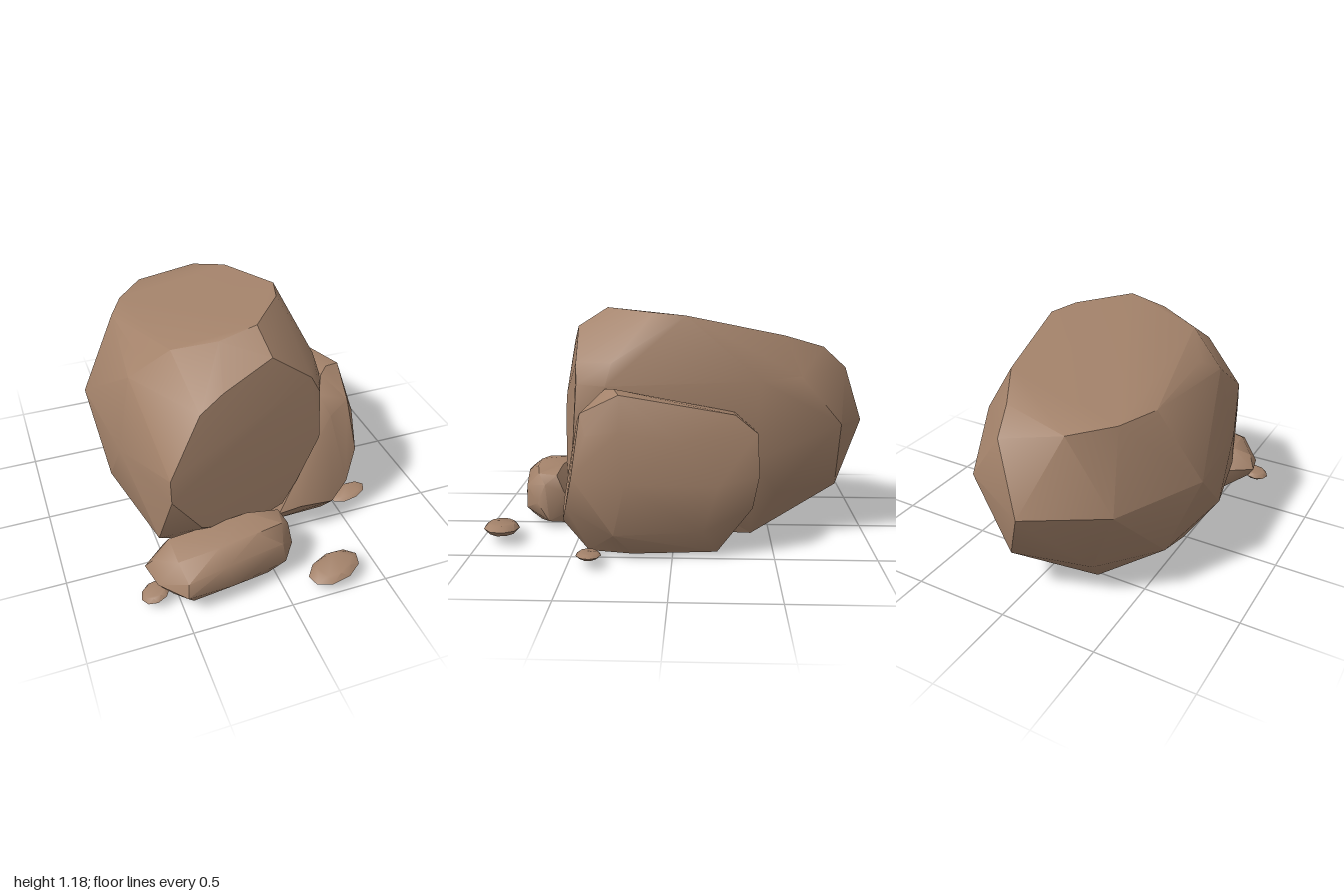
import * as THREE from 'three';
import { ConvexGeometry } from 'three/addons/geometries/ConvexGeometry.js';
import { toCreasedNormals } from 'three/addons/utils/BufferGeometryUtils.js';

// Corner points [x, y, z] of each boulder, in rings
const boulder = [
  // sloping top facet
  [0.29, 1.165, -0.06], [0.24, 1.175, 0.1], [0.04, 1.185, 0.35], [-0.15, 1.14, 0.36], [-0.36, 1.09, 0.28],
  [-0.48, 0.99, 0.1], [-0.49, 0.944, -0.4], [-0.4, 0.93, -0.6], [-0.24, 0.927, -0.79], [0.08, 0.99, -0.76], [0.2, 1.06, -0.55],
  // front facet
  [0.06, 1.09, 0.5], [-0.2, 0.99, 0.56], [-0.32, 0.92, 0.59], [-0.49, 0.64, 0.665], [-0.49, 0.52, 0.675],
  [-0.34, 0.3, 0.65], [-0.1, 0.2, 0.61], [0.12, 0.24, 0.56], [0.2, 0.35, 0.54], [0.33, 0.57, 0.5], [0.325, 0.83, 0.48], [0.27, 0.93, 0.487],
  // left side
  [-0.55, 0.93, 0.2], [-0.69, 0.57, -0.3], [-0.63, 0.55, 0.25], [-0.65, 0.25, 0.05], [-0.53, 0.2, 0.55], [-0.56, 0.2, -0.41],
  // right side
  [0.36, 0.94, 0.3], [0.39, 0.83, 0.33], [0.38, 0.55, 0.35], [0.33, 0.85, -0.43], [0.285, 0.87, -0.63], [0.34, 0.45, -0.4], [0.25, 0.26, -0.52],
  // back
  [-0.11, 0.57, -1.0], [0.24, 0.62, -0.84], [0.05, 0.88, -0.88], [-0.46, 0.55, -0.75], [0.04, 0.25, -0.85], [-0.32, 0.2, -0.7],
  // foot
  [0.1, 0.01, 0.32], [0.16, 0.01, -0.4], [-0.25, 0.01, -0.53], [-0.49, 0.01, -0.02], [-0.34, 0.01, 0.39], [-0.18, 0.01, 0.47],
];
const slab = [
  // crest
  [0.4, 0.82, 0.33], [0.45, 0.83, 0.28], [0.53, 0.815, 0.25], [0.36, 0.75, 0.4], [0.34, 0.7, -0.3], [0.46, 0.71, -0.3],
  // back edge
  [0.31, 0.6, -0.41], [0.46, 0.62, -0.41], [0.32, 0.4, -0.43], [0.49, 0.42, -0.42], [0.47, 0.25, -0.39], [0.31, 0.17, -0.37],
  // outer side
  [0.58, 0.65, 0.25], [0.55, 0.6, -0.05], [0.6, 0.4, 0.22], [0.55, 0.38, -0.22], [0.58, 0.14, 0.28], [0.54, 0.15, -0.15],
  // front
  [0.5, 0.72, 0.44], [0.4, 0.66, 0.47], [0.55, 0.62, 0.41], [0.555, 0.42, 0.48], [0.34, 0.55, 0.47], [0.2, 0.34, 0.53],
  [0.5, 0.25, 0.52], [0.41, 0.16, 0.55], [0.22, 0.2, 0.575], [0.12, 0.14, 0.53], [0.13, 0.06, 0.48],
  // foot
  [0.14, 0.005, 0.42], [0.15, 0.005, 0.23], [0.42, 0.005, 0.42], [0.46, 0.005, 0.2], [0.42, 0.005, -0.22], [0.33, 0.005, -0.22],
];
const lowStone = [
  // top
  [-0.5, 0.245, 0.78], [-0.3, 0.28, 0.79], [-0.1, 0.295, 0.77], [0.04, 0.29, 0.74], [0.06, 0.285, 0.64], [-0.1, 0.305, 0.63],
  [-0.5, 0.25, 0.62], [-0.59, 0.2, 0.68],
  // front
  [-0.48, 0.19, 0.88], [-0.28, 0.22, 0.86], [0.02, 0.22, 0.81], [-0.49, 0.12, 0.9], [-0.25, 0.1, 0.875], [0.04, 0.1, 0.81], [-0.45, 0.04, 0.85], [-0.05, 0.04, 0.8],
  // ends and back
  [-0.63, 0.13, 0.64], [-0.6, 0.12, 0.77], [-0.59, 0.06, 0.68], [0.09, 0.24, 0.7], [0.1, 0.14, 0.74], [0.1, 0.04, 0.68], [0.08, 0.2, 0.6],
  [0.04, 0.1, 0.54], [-0.5, 0.14, 0.53], [-0.2, 0.15, 0.5],
  // foot
  [-0.52, 0, 0.74], [-0.48, 0, 0.58], [-0.05, 0, 0.75], [0.0, 0, 0.58], [-0.3, 0, 0.8],
];

// Pebbles: centre, half sizes, turn about y, tilt about z
const pebbles = [
  [[-0.61, 0.05, 0.745], [0.075, 0.018, 0.067], 0.5, 0.2],
  [[0.262, 0.063, 0.897], [0.142, 0.026, 0.093], 0.25, 0.12],
  [[0.585, 0.047, 0.4], [0.105, 0.014, 0.062], 0.15, 0.16],
];

export function createModel() {
  const group = new THREE.Group();
  const stone = new THREE.MeshStandardMaterial({ color: 0xa3826a });
  stone.name = 'brownStone';

  const addRock = (name, points, crease) => {
    const hull = new ConvexGeometry(points.map((p) => new THREE.Vector3(...p)));
    const mesh = new THREE.Mesh(toCreasedNormals(hull, crease), stone);
    mesh.name = name;
    group.add(mesh);
    return mesh;
  };

  addRock('mainBoulder', boulder, 0.55);
  addRock('sideSlab', slab, 0.7);
  addRock('frontStone', lowStone, 0.75);

  // Flattened pebbles from three stacked rings
  const ring = [];
  for (const [y, r] of [[-1, 0.72], [0, 1], [1, 0.72]]) {
    for (let i = 0; i < 9; i++) {
      const a = (i + y * 0.4) / 9 * Math.PI * 2;
      ring.push([Math.cos(a) * r, y, Math.sin(a) * r]);
    }
  }
  pebbles.forEach(([centre, size, turn, tilt], i) => {
    const mesh = addRock('pebble' + (i + 1), ring.map((p) => p.map((v, k) => v * size[k])), 0.8);
    mesh.position.set(...centre);
    mesh.rotation.set(0, turn, tilt, 'ZYX');
  });
  return group;
}
